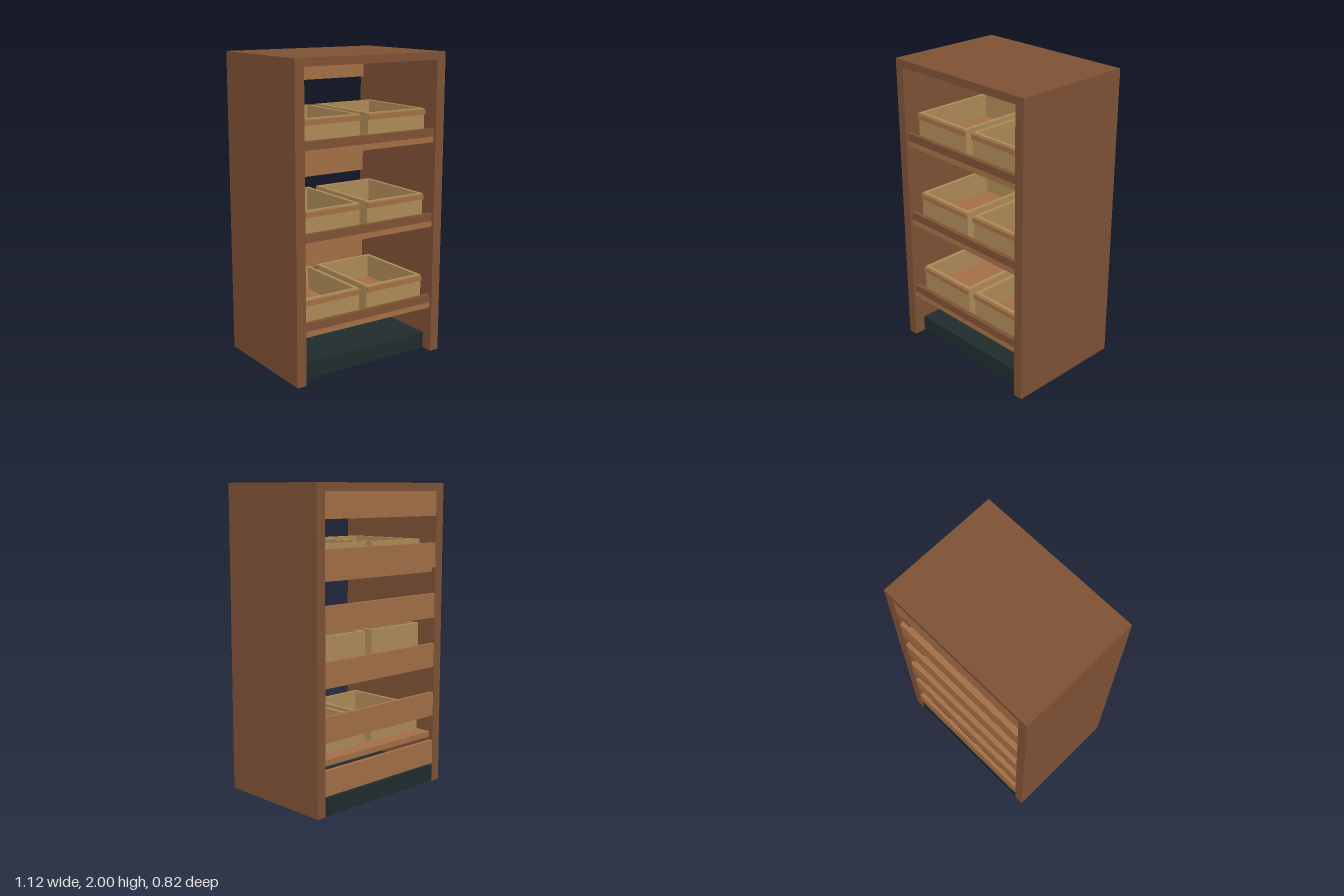
import * as THREE from 'three';

const mat = (name, color) => {
  const m = new THREE.MeshStandardMaterial({ color });
  m.name = name;
  return m;
};

export function createModel() {
  const darkWood = mat('dark wood', 0x7f5235);
  const warmWood = mat('warm wood', 0xa46f46);
  const paleWood = mat('pale wood', 0xae8b57);
  const plinthPaint = mat('dark plinth', 0x202c2c);

  const model = new THREE.Group();
  model.name = 'shelfUnit';

  // box given by its min and max along each axis
  const slab = (parent, name, material, [x0, x1], [y0, y1], [z0, z1]) => {
    const mesh = new THREE.Mesh(new THREE.BoxGeometry(x1 - x0, y1 - y0, z1 - z0), material);
    mesh.position.set((x0 + x1) / 2, (y0 + y1) / 2, (z0 + z1) / 2);
    mesh.name = name;
    parent.add(mesh);
  };

  const W = 0.56, D = 0.41, IN = 0.495;
  const inner = [-IN, IN];

  // carcass: two sides and the top in one piece
  const outline = new THREE.Shape([
    [-W, 0], [-IN, 0], [-IN, 1.95], [IN, 1.95], [IN, 0], [W, 0], [W, 2], [-W, 2],
  ].map(([x, y]) => new THREE.Vector2(x, y)));
  const carcass = new THREE.Mesh(
    new THREE.ExtrudeGeometry(outline, { depth: 2 * D, bevelEnabled: false }), darkWood);
  carcass.position.z = -D;
  carcass.name = 'carcass';
  model.add(carcass);

  // recessed plinth
  slab(model, 'plinth', plinthPaint, inner, [0, 0.11], [-D + 0.005, 0.33]);

  // six back slats with open gaps
  for (let i = 0; i < 6; i++) {
    const y = 0.125 + i * 0.333;
    slab(model, 'backSlat', warmWood, inner, [y, y + 0.16], [-D + 0.003, -D + 0.03]);
  }

  // open crate with a warm floor and a front cleat
  const addCrate = (x0, y0) => {
    const crate = new THREE.Group();
    crate.name = 'crate';
    const x1 = x0 + 0.45, y1 = y0 + 0.175, z0 = -0.28, z1 = 0.31, t = 0.025;
    for (const [a, b] of [[x0, x0 + t], [x1 - t, x1]])
      slab(crate, 'crateSide', paleWood, [a, b], [y0, y1], [z0, z1]);
    for (const [a, b] of [[z0, z0 + t], [z1 - t, z1]])
      slab(crate, 'crateEnd', paleWood, [x0 + t, x1 - t], [y0, y1], [a, b]);
    slab(crate, 'crateFloor', warmWood, [x0 + t, x1 - t], [y0 + 0.002, y0 + 0.02], [z0 + t, z1 - t]);
    slab(crate, 'crateCleat', warmWood, [x0, x1], [y1 - 0.04, y1 - 0.008], [z1, z1 + 0.012]);
    model.add(crate);
  };

  // three shelves, each with a front lip and a pair of crates
  for (const y of [0.305, 0.865, 1.425]) {
    slab(model, 'shelf', warmWood, inner, [y, y + 0.038], [-D + 0.03, 0.39]);
    slab(model, 'shelfLip', darkWood, inner, [y + 0.038, y + 0.09], [0.362, 0.392]);
    for (const x of [-0.48, 0.03]) addCrate(x, y + 0.038);
  }

  return model;
}
